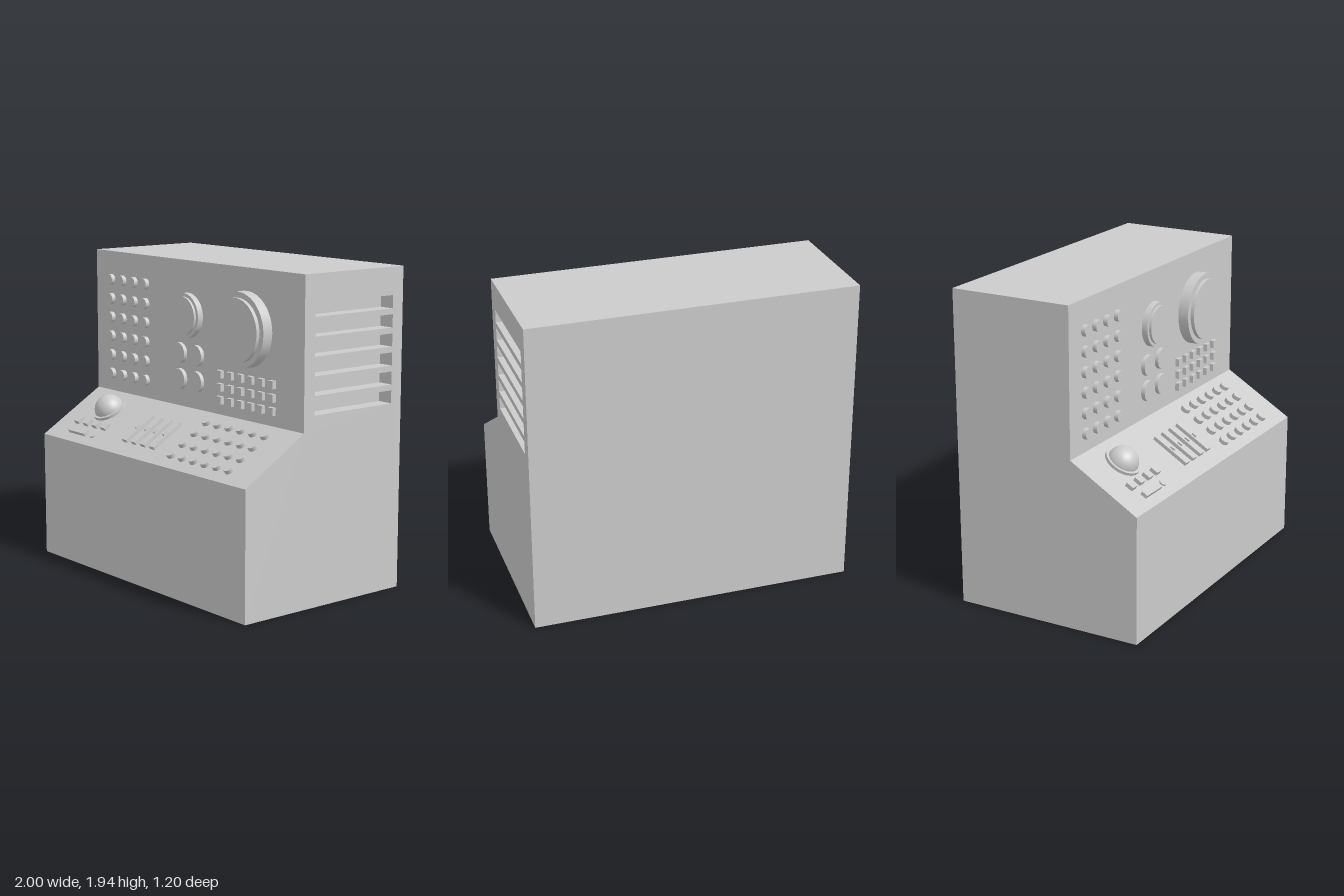
import * as THREE from 'three';

const mat = new THREE.MeshStandardMaterial({ color: 0xcccccc });

function add(parent, name, geo, x = 0, y = 0, z = 0) {
  const m = new THREE.Mesh(geo, mat);
  m.name = name;
  m.position.set(x, y, z);
  parent.add(m);
  return m;
}

// Cabinet side outline, drawn in (-z, y)
function sideShape() {
  const pts = [[0.6, 0], [0.6, 0.78], [0.17, 1.04], [0.17, 1.94], [-0.6, 1.94], [-0.6, 0]];
  return new THREE.Shape(pts.map(([z, y]) => new THREE.Vector2(-z, y)).reverse());
}

function rectPath(x0, y0, x1, y1) {
  return new THREE.Path([[x0, y0], [x0, y1], [x1, y1], [x1, y0]].map(p => new THREE.Vector2(...p)));
}

function extrudeSide(shape, x0, x1) {
  return new THREE.ExtrudeGeometry(shape, { depth: x1 - x0, bevelEnabled: false })
    .rotateY(Math.PI / 2).translate(x0, 0, 0);
}

// Round cap whose base sits on its local y = 0
function disc(r, h, seg = 28) {
  return new THREE.CylinderGeometry(r, r, h, seg).translate(0, h / 2, 0);
}

function block(w, h, d) {
  return new THREE.BoxGeometry(w, h, d).translate(0, h / 2, 0);
}

function grid(parent, name, geo, xs, zs) {
  for (const z of zs) for (const x of xs) add(parent, name, geo, x, 0, z);
}

export function createModel() {
  const root = new THREE.Group();
  root.name = 'controlConsole';

  // Cabinet, with a slotted outer layer on one side for the vents
  const ventDepth = 0.1;
  add(root, 'cabinet', extrudeSide(sideShape(), -1, 1 - ventDepth));
  const vented = sideShape();
  for (let i = 0; i < 6; i++) {
    const y = 1.735 - i * 0.1125;
    vented.holes.push(rectPath(-0.09, y - 0.039, 0.52, y + 0.039));
  }
  add(root, 'ventedSide', extrudeSide(vented, 1 - ventDepth, 1));

  // Upright panel: local y points out of the panel, local z points down
  const panel = new THREE.Group();
  panel.name = 'uprightPanel';
  panel.position.z = 0.17;
  panel.rotation.x = Math.PI / 2;
  root.add(panel);

  grid(panel, 'panelKnob', disc(0.034, 0.027),
    [-0.835, -0.715, -0.595, -0.475], [-1.76, -1.638, -1.517, -1.396, -1.274, -1.153]);
  grid(panel, 'smallDial', disc(0.064, 0.025, 36), [-0.125, 0.04], [-1.37, -1.21]);
  grid(panel, 'squareButton', block(0.047, 0.025, 0.047),
    [0.267, 0.361, 0.455, 0.548, 0.641, 0.735], [-1.287, -1.208, -1.13]);

  // Screens: rim plus raised glass
  for (const [name, x, y, rimR, rimH, glassR, glassH] of [
    ['mediumScreen', -0.045, 1.607, 0.137, 0.038, 0.117, 0.053],
    ['largeScreen', 0.5, 1.58, 0.224, 0.067, 0.19, 0.09]]) {
    add(panel, name + 'Rim', disc(rimR, rimH, 48), x, 0, -y);
    add(panel, name + 'Glass', disc(glassR, glassH, 48), x, 0, -y);
  }

  // Sloped desk: local y is the surface normal, local z runs down the slope
  const slope = Math.atan2(0.26, 0.43);
  const desk = new THREE.Group();
  desk.name = 'slopedDesk';
  desk.position.set(0, 0.91, 0.385);
  desk.rotation.x = slope;
  root.add(desk);
  const along = (z, h) => (z - 0.385 - h * Math.sin(slope)) / Math.cos(slope);

  // Trackball
  const ballZ = along(0.317, 0);
  add(desk, 'trackballRing', disc(0.11, 0.018, 40), -0.67, 0, ballZ);
  add(desk, 'trackball', new THREE.SphereGeometry(0.095, 36, 18, 0, Math.PI * 2, 0, Math.PI / 2),
    -0.67, 0.005, ballZ);

  // Keys below the trackball
  grid(desk, 'deskKey', block(0.047, 0.024, 0.05),
    [-0.81, -0.715, -0.62, -0.528], [along(0.456, 0.012)]);
  add(desk, 'barKey', block(0.176, 0.022, 0.04), -0.709, 0, along(0.532, 0.011));
  add(desk, 'pinKnob', disc(0.022, 0.01, 20), -0.564, 0, along(0.527, 0.005));

  // Sliders: slotted frame with a small handle
  const len = 0.25;
  const frame = new THREE.Shape(rectPath(-0.023, -len / 2, 0.023, len / 2).getPoints());
  frame.holes.push(rectPath(-0.007, -len * 0.36, 0.007, len * 0.36));
  const frameGeo = new THREE.ExtrudeGeometry(frame, { depth: 0.022, bevelEnabled: false })
    .rotateX(-Math.PI / 2);
  const sliderXs = [-0.243, -0.151, -0.06, 0.032];
  const sliderZ = along(0.409, 0.011);
  grid(desk, 'sliderFrame', frameGeo, sliderXs, [sliderZ]);
  grid(desk, 'sliderHandle', block(0.012, 0.032, 0.03), sliderXs, [sliderZ]);

  // Round push buttons
  grid(desk, 'roundButton', disc(0.03, 0.025),
    [0.23, 0.336, 0.442, 0.548, 0.654, 0.76],
    [0.254, 0.344, 0.433, 0.521].map(z => along(z, 0.012)));

  return root;
}
